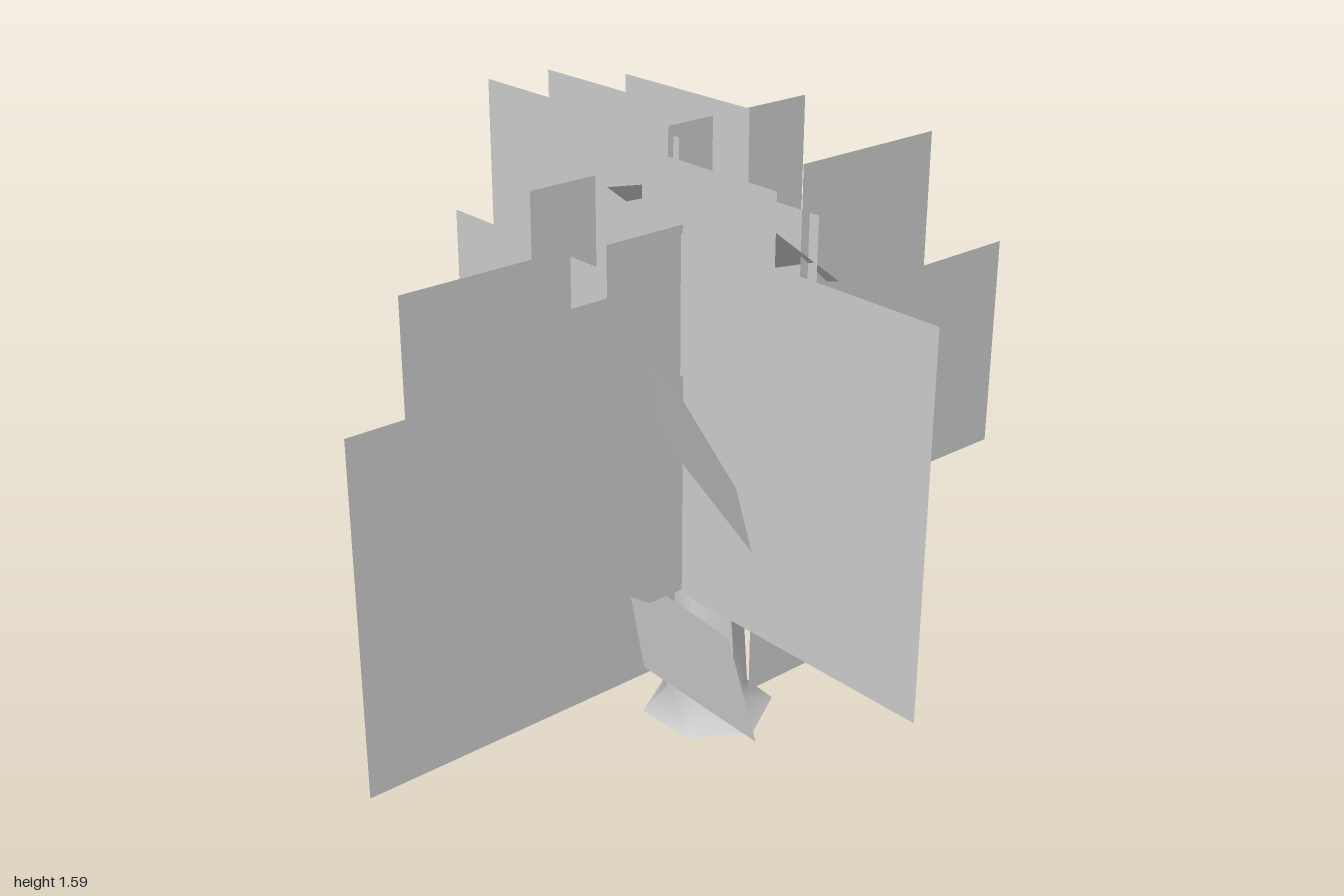
import * as THREE from 'three';

export function createModel() {
  const tree = new THREE.Group();
  const grey = new THREE.MeshStandardMaterial({ color: 0xcccccc, side: THREE.DoubleSide });
  grey.name = 'light grey';

  const add = (geometry, name) => {
    const mesh = new THREE.Mesh(geometry, grey);
    mesh.name = name;
    tree.add(mesh);
    return mesh;
  };

  // Upright foliage cards facing front: [x0, x1, y0, y1, z]
  const frontCards = [
    [-0.925, 0.01, 0.09, 1.0, 0.07],
    [-0.625, 0.31, 0.28, 1.185, -0.16],
    [-0.58, 0.35, 0.27, 1.175, 0.14],
    [-0.345, 0.09, 0.925, 1.345, 0.24],
    [-0.09, 0.34, 1.125, 1.545, 0.15],
    [0.15, 0.585, 0.93, 1.35, -0.12],
    [0.17, 0.605, 1.025, 1.445, 0.32],
    [-0.01, 0.925, 0.245, 1.155, 0.015],
    [0.31, 0.89, 0.545, 1.105, 0.325],
    [0.14, 0.72, 0.365, 0.925, 0.255],
    [-0.13, 0.45, 0.255, 0.815, 0.49],
    [-0.105, 0.395, 0.66, 1.145, 0.47],
    [-0.27, 0.16, 0.945, 1.365, -0.13],
    [-0.47, 0.11, 0.425, 0.985, 0.25],
  ];
  for (const [x0, x1, y0, y1, z] of frontCards) {
    add(new THREE.PlaneGeometry(x1 - x0, y1 - y0), 'frontFoliage')
      .position.set((x0 + x1) / 2, (y0 + y1) / 2, z);
  }

  // Upright foliage cards facing sideways: [z0, z1, y0, y1, x]
  const sideCards = [
    [0.065, 1.0, 0.415, 1.325, -0.13],
    [0.1, 0.535, 1.07, 1.49, -0.125],
    [-0.16, 0.27, 1.17, 1.585, 0.045],
    [-0.48, 0.225, 0.85, 1.535, 0.06],
    [-0.55, 0.17, 0.82, 1.52, -0.075],
    [-0.5, 0.2, 0.5, 1.19, -0.07],
    [-0.695, 0.225, 0.345, 1.23, 0.17],
    [-1.0, -0.065, 0.13, 1.03, 0.12],
    [-0.47, 0.005, 0.51, 0.975, 0.345],
    [-0.4, 0.04, 0.97, 1.39, 0.335],
    [0.145, 0.62, 0.51, 0.975, 0.2],
    [-0.085, 0.35, 0.905, 1.325, 0.195],
    [-0.1, 0.26, 0.9, 1.25, 0.265],
    [-0.21, 0.275, 0.41, 0.87, 0.27],
    [0.125, 0.6, 0.455, 0.92, -0.04],
    [-0.26, 0.21, 0.32, 0.79, -0.145],
    [-0.19, 0.17, 0.82, 1.18, -0.155],
  ];
  for (const [z0, z1, y0, y1, x] of sideCards) {
    const card = add(new THREE.PlaneGeometry(z1 - z0, y1 - y0), 'sideFoliage');
    card.rotation.y = Math.PI / 2;
    card.position.set(x, (y0 + y1) / 2, (z0 + z1) / 2);
  }

  // Leaning foliage cards: three corners, the fourth completes the parallelogram
  const leaningCards = [
    [[0.15, 0.735, -0.585], [0.435, 0.82, -0.4], [0.285, 0.595, -0.045]],
    [[0.265, 0.49, 0.585], [0.49, 0.715, 0.45], [0.31, 0.72, 0.1]],
    [[-0.475, 0.79, -0.225], [-0.01, 0.7, -0.245], [0.0, 0.57, 0.085]],
    [[-0.445, 0.44, 0.48], [-0.225, 0.215, 0.615], [0.0, 0.25, 0.28]],
    [[-0.47, 1.045, 0.56], [-0.315, 0.765, 0.68], [0.0, 0.765, 0.26]],
    [[-0.125, 1.37, -0.025], [0.23, 1.07, 0.05], [0.265, 1.15, 0.355]],
    [[0.53, 0.215, -0.1], [0.61, 0.345, 0.06], [0.21, 0.39, 0.24]],
    [[0.69, 0.37, 0.06], [0.69, 0.45, 0.25], [0.25, 0.48, 0.25]],
  ];
  for (const [a, b, c] of leaningCards) {
    const d = a.map((v, i) => v + c[i] - b[i]);
    const geometry = new THREE.BufferGeometry();
    geometry.setAttribute('position', new THREE.Float32BufferAttribute([...a, ...b, ...c, ...d], 3));
    // Wind the corners so that the card faces upwards
    const up = (b[2] - a[2]) * (c[0] - a[0]) - (b[0] - a[0]) * (c[2] - a[2]) > 0;
    geometry.setIndex(up ? [0, 1, 2, 0, 2, 3] : [0, 2, 1, 0, 3, 2]);
    geometry.computeVertexNormals();
    add(geometry, 'leaningFoliage');
  }

  // Flared six-sided trunk, bending slightly backwards as it rises
  const profile = [[0.17, 0], [0.105, 0.06], [0.1, 0.25], [0.09, 0.42], [0.065, 0.65], [0.035, 0.9], [0.015, 1.2]];
  const trunk = new THREE.LatheGeometry(profile.map(([r, y]) => new THREE.Vector2(r, y)), 6);
  const p = trunk.attributes.position;
  for (let i = 0; i < p.count; i++) {
    p.setZ(i, p.getZ(i) + 0.178 - 0.055 * p.getY(i));
    p.setX(i, p.getX(i) + 0.027);
  }
  trunk.computeVertexNormals();
  add(trunk, 'trunk');

  // Tapering branches: [start, end, radius]
  const branches = [
    [[0.04, 0.5, 0.15], [0.22, 0.76, -0.1], 0.035],
    [[0.03, 0.6, 0.14], [-0.01, 0.85, -0.13], 0.03],
    [[0.02, 0.6, 0.15], [-0.28, 0.8, 0.21], 0.03],
    [[0.03, 0.45, 0.15], [0.27, 0.62, 0.11], 0.03],
    [[0.03, 0.5, 0.15], [-0.07, 0.68, 0.33], 0.03],
    [[0.03, 0.5, 0.15], [0.33, 0.68, 0.34], 0.03],
  ];
  for (const [from, to, radius] of branches) {
    const a = new THREE.Vector3(...from);
    const b = new THREE.Vector3(...to);
    const branch = add(new THREE.CylinderGeometry(radius * 0.6, radius, a.distanceTo(b), 5), 'branch');
    branch.position.copy(a).add(b).multiplyScalar(0.5);
    branch.quaternion.setFromUnitVectors(new THREE.Vector3(0, 1, 0), b.sub(a).normalize());
  }

  return tree;
}
